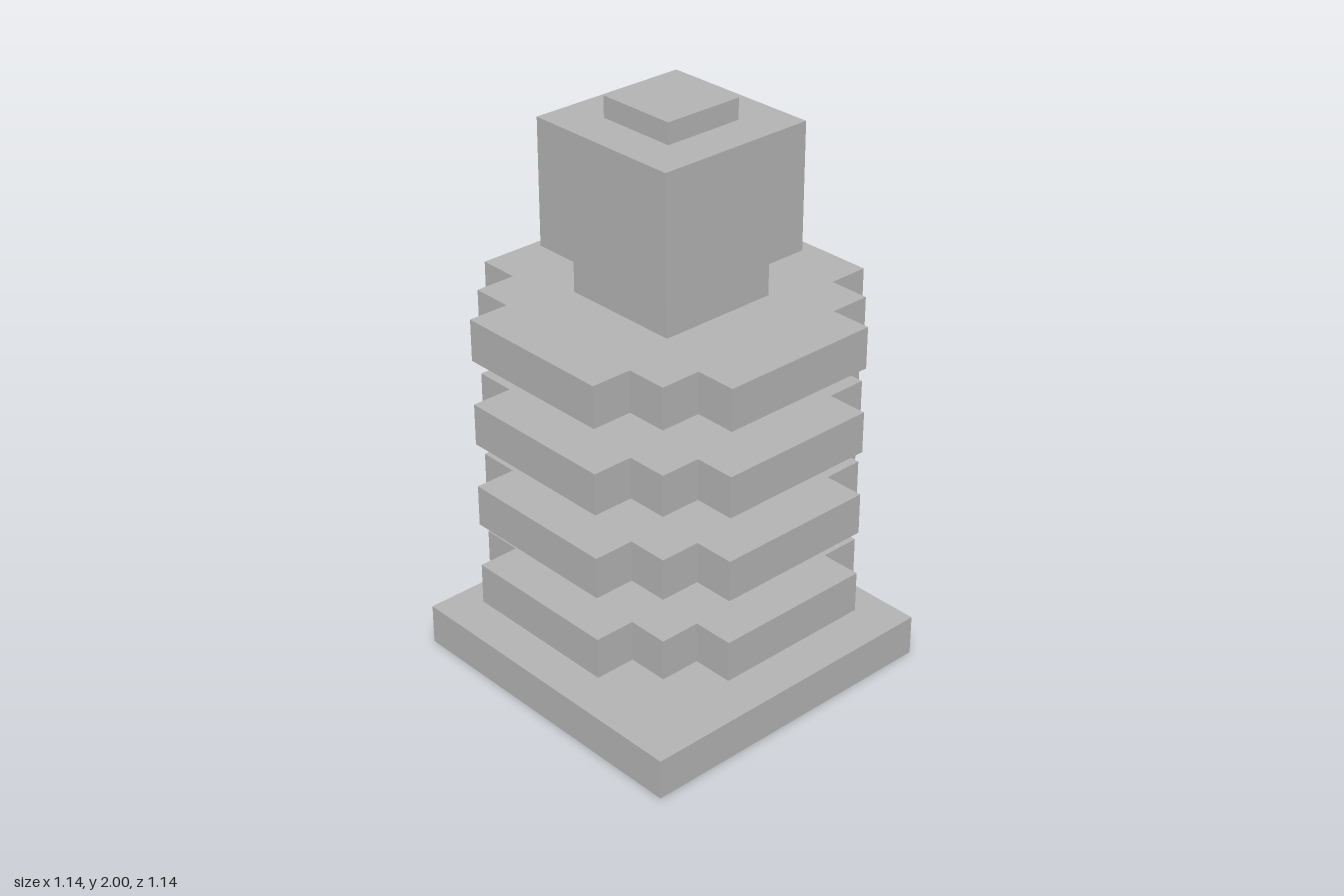
import * as THREE from 'three';

const U = 1 / 7; // building module

export function createModel() {
  const model = new THREE.Group();
  model.name = 'tieredTower';
  const stone = new THREE.MeshStandardMaterial({ color: 0xb2b2b2 });
  stone.name = 'grey stone';

  const add = (name, geometry, y) => {
    const mesh = new THREE.Mesh(geometry, stone);
    mesh.name = name;
    mesh.position.y = y;
    model.add(mesh);
  };
  // square block standing between two heights
  const block = (name, width, y0, y1) =>
    add(name, new THREE.BoxGeometry(width, y1 - y0, width), (y0 + y1) / 2);

  block('base', 8 * U, 0, U);
  block('column', 3 * U, U, 1.5);
  block('head', 4 * U, 1.5, 13.5 * U);
  block('cap', 2 * U, 13.5 * U, 2);

  // floor slab: a square with stepped notches at its corners
  const corner = [[4, 2], [3, 2], [3, 3], [2, 3], [2, 4]];
  const outline = [];
  for (let q = 0; q < 4; q++) {
    for (const [x, y] of corner) {
      const p = new THREE.Vector2(x * U, y * U);
      outline.push(p.rotateAround(new THREE.Vector2(), q * Math.PI / 2));
    }
  }
  const slab = new THREE.ExtrudeGeometry(new THREE.Shape(outline), { depth: U, bevelEnabled: false });
  slab.rotateX(-Math.PI / 2);
  for (let i = 0; i < 4; i++) add('floorSlab' + (i + 1), slab, 0.306 + i * 0.298);

  return model;
}
